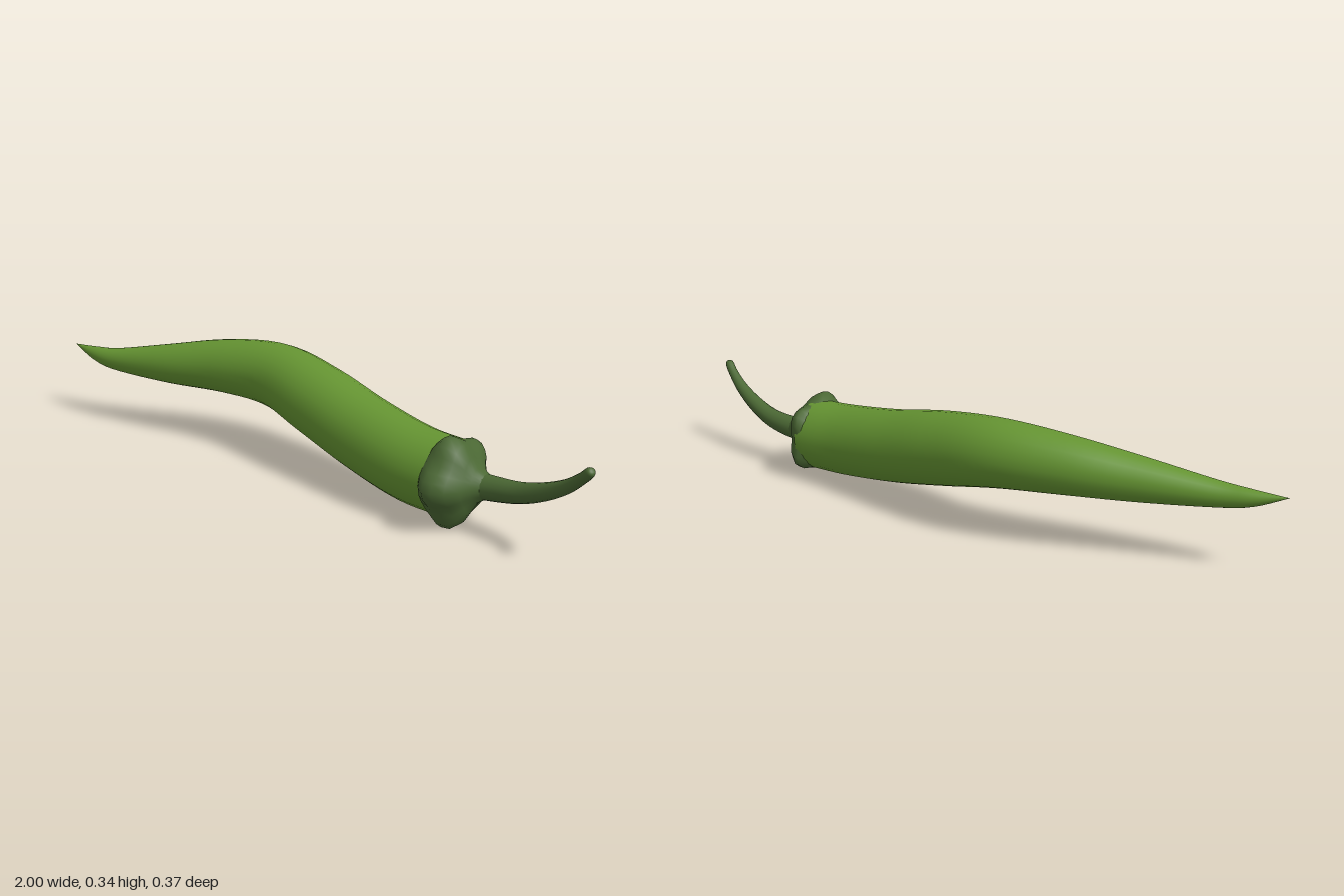
import * as THREE from 'three';

// Sweeps a round section along stations [x, y, z, radius, lobeDepth], running towards +x.
function sweep(stations, rings, sides, smooth = true) {
  const toCurve = (f) => new THREE.CatmullRomCurve3(stations.map(f), false, 'catmullrom', 0.5);
  const path = toCurve((s) => new THREE.Vector3(s[0], s[1], s[2]));
  const size = toCurve((s) => new THREE.Vector3(s[3], s[4] || 0, 0));
  const count = smooth ? rings : stations.length - 1;
  const pos = [], index = [];
  for (let i = 0; i <= count; i++) {
    const u = i / count;
    const c = path.getPoint(u), s = size.getPoint(u), t = path.getTangent(u);
    const side = new THREE.Vector3(0, 0, 1).addScaledVector(t, -t.z).normalize();
    const up = new THREE.Vector3().crossVectors(side, t);
    for (let j = 0; j < sides; j++) {
      const a = (j / sides) * Math.PI * 2;
      const r = Math.max(0, s.x + s.y * Math.cos(5 * a));
      const p = c.clone().addScaledVector(side, r * Math.cos(a)).addScaledVector(up, r * Math.sin(a));
      pos.push(p.x, p.y, p.z);
      if (i < count) {
        const k = i * sides, n = (j + 1) % sides;
        index.push(k + j, k + sides + j, k + n, k + n, k + sides + j, k + sides + n);
      }
    }
  }
  const g = new THREE.BufferGeometry();
  g.setAttribute('position', new THREE.Float32BufferAttribute(pos, 3));
  g.setIndex(index);
  g.computeVertexNormals();
  return g;
}

export function createModel() {
  const group = new THREE.Group();
  const podGreen = new THREE.MeshStandardMaterial({ color: 0x659432 });
  podGreen.name = 'podGreen';
  const stemGreen = new THREE.MeshStandardMaterial({ color: 0x4b6834 });
  stemGreen.name = 'stemGreen';
  const add = (name, geometry, material) => {
    const m = new THREE.Mesh(geometry, material);
    m.name = name;
    group.add(m);
  };

  // Curved pod, from pointed tip to shoulder
  add('pod', sweep([
    [-1, 0.235, 0.042, 0],
    [-0.9, 0.217, 0.036, 0.024],
    [-0.8, 0.213, 0.026, 0.038],
    [-0.6, 0.227, -0.018, 0.064],
    [-0.4, 0.245, -0.068, 0.085],
    [-0.2, 0.247, -0.089, 0.1],
    [0, 0.213, -0.053, 0.11],
    [0.2, 0.171, -0.01, 0.111],
    [0.4, 0.141, 0.03, 0.111],
    [0.55, 0.134, 0.043, 0.109],
  ], 48, 24), podGreen);

  // Five-lobed cap over the shoulder
  add('calyx', sweep([
    [0.5, 0.134, 0.046, 0.09, 0],
    [0.522, 0.134, 0.048, 0.111, 0.004],
    [0.543, 0.134, 0.05, 0.122, 0.012],
    [0.565, 0.134, 0.05, 0.12, 0.012],
    [0.59, 0.135, 0.05, 0.105, 0.009],
    [0.61, 0.135, 0.048, 0.075, 0.005],
    [0.626, 0.135, 0.046, 0.048, 0.001],
    [0.65, 0.136, 0.045, 0.034, 0],
  ], 0, 30, false), stemGreen);

  // Tapering stalk that bends up, with a blunt end
  add('stem', sweep([
    [0.61, 0.134, 0.045, 0.038],
    [0.68, 0.138, 0.046, 0.034],
    [0.76, 0.151, 0.056, 0.029],
    [0.84, 0.18, 0.073, 0.024],
    [0.91, 0.217, 0.092, 0.019],
    [0.96, 0.256, 0.109, 0.015],
    [0.985, 0.28, 0.12, 0.014],
    [0.993, 0.288, 0.123, 0.009],
    [0.995, 0.29, 0.124, 0],
  ], 32, 14), stemGreen);

  return group;
}
